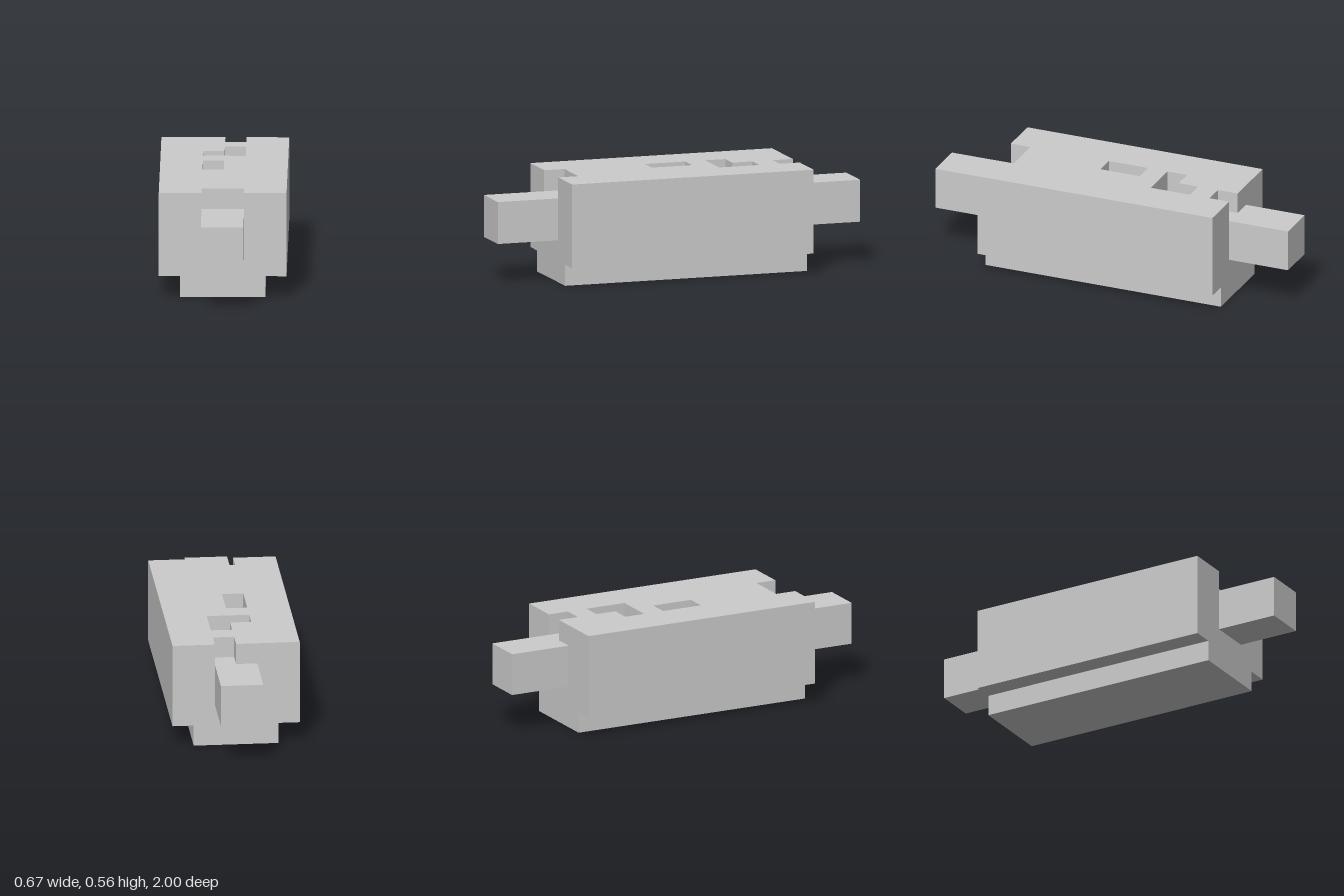
import * as THREE from 'three';

const U = 1 / 9; // modelling grid step
const material = new THREE.MeshStandardMaterial({ color: 0xcccccc, flatShading: true });

const points = (list) => list.map(([a, b]) => new THREE.Vector2(a * U, b * U));

function extrude(outline, holes, depth) {
  const shape = new THREE.Shape(points(outline));
  shape.holes = holes.map((hole) => new THREE.Path(points(hole)));
  return new THREE.ExtrudeGeometry(shape, { depth: depth * U, bevelEnabled: false });
}

export function createModel() {
  const model = new THREE.Group();
  const add = (name, geometry) => {
    const mesh = new THREE.Mesh(geometry, material);
    mesh.name = name;
    model.add(mesh);
    return mesh;
  };

  // Lower body: T-shaped section (x, y) with a narrower foot, run along z
  const section = [[-2, 0], [2, 0], [2, 1], [3, 1], [3, 4], [-3, 4], [-3, 1], [-2, 1]];
  add('body', extrude(section, [], 12).translate(0, 0, -6 * U));

  // Top plate, plan in (x, z): wide front notch, narrow back notch, two pockets
  const plan = [
    [-3, -6], [0, -6], [0, -5], [1, -5], [1, -6], [3, -6],
    [3, 6], [1, 6], [1, 5], [-1, 5], [-1, 6], [-3, 6],
  ];
  const slot = [[-1, -1], [0, -1], [0, 1], [-1, 1]];
  const cornerSlot = [[-1, -3], [0, -3], [0, -4], [1, -4], [1, -2], [-1, -2]];
  add('topPlate', extrude(plan, [slot, cornerSlot], 1).rotateX(Math.PI / 2).translate(0, 5 * U, 0));

  // Square bars sticking out of both ends
  for (const [name, side] of [['frontBar', 1], ['backBar', -1]]) {
    add(name, new THREE.BoxGeometry(2 * U, 2 * U, 3 * U)).position.set(0, 3 * U, side * 7.5 * U);
  }

  return model;
}
